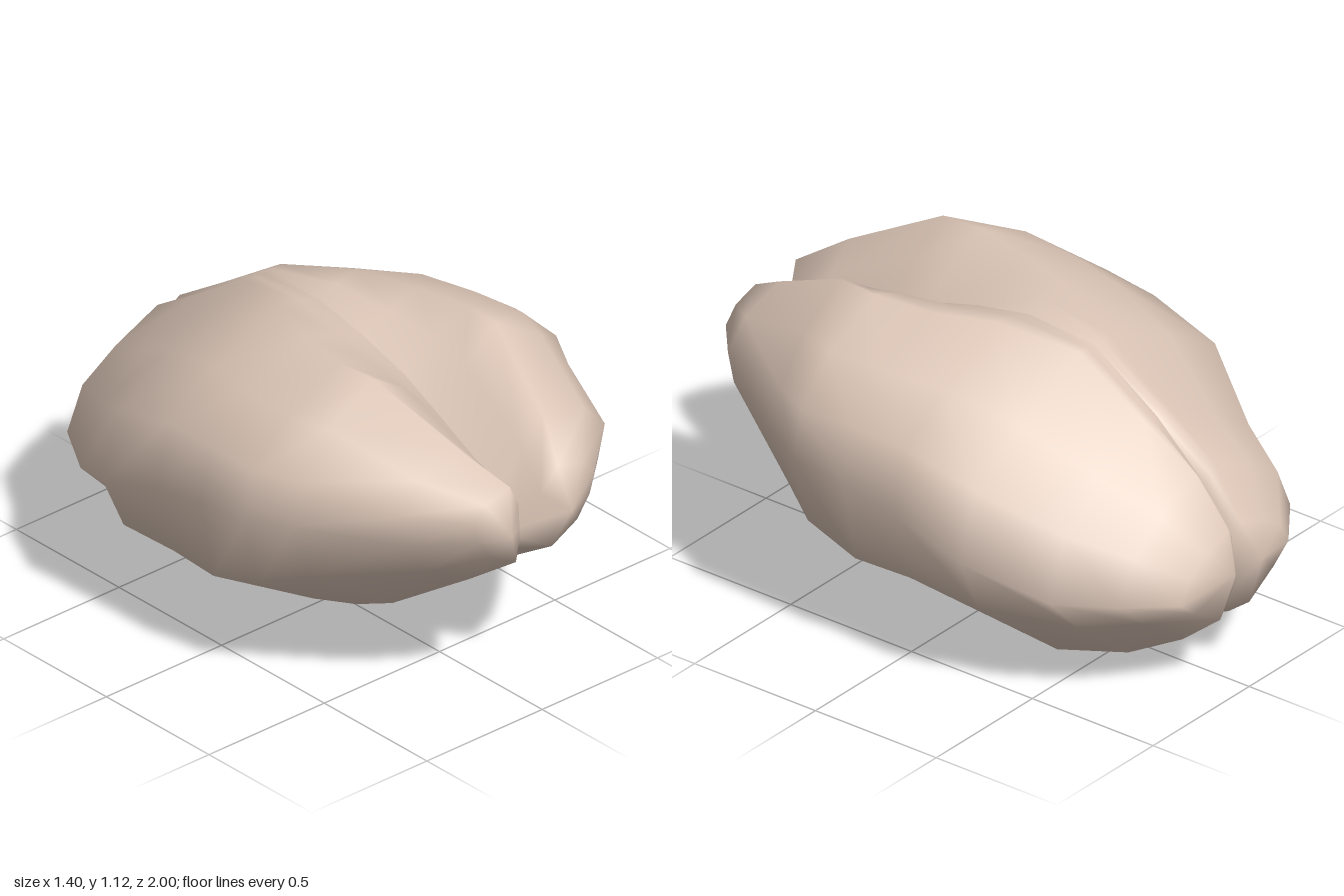
import * as THREE from 'three';

// Cross-sections, front to back: z, half width, top, bottom, crease top, crease bottom, crease z
const SECTIONS = [
  [0.96, 0.26, 0.86, 0.57, 0.64, 0.60, 0.89],
  [0.80, 0.45, 0.96, 0.46, 0.74, 0.52, 0.80],
  [0.48, 0.62, 1.12, 0.25, 0.90, 0.34, 0.48],
  [0.33, 0.70, 1.12, 0.19, 0.97, 0.27, 0.33],
  [0.12, 0.70, 1.11, 0.12, 1.03, 0.18, 0.12],
  [-0.09, 0.70, 1.115, 0.075, 1.07, 0.11, -0.09],
  [-0.36, 0.695, 1.055, 0.005, 1.05, 0.03, -0.36],
  [-0.62, 0.56, 0.88, 0.065, 0.875, 0.09, -0.62],
  [-0.82, 0.44, 0.75, 0.17, 0.69, 0.23, -0.81],
  [-0.94, 0.28, 0.58, 0.265, 0.51, 0.34, -0.93],
];
const FRONT_TIP = [0.13, 0.70, 1.0];
const BACK_TIP = [0.07, 0.45, -1.0];

// Outer profiles from ridge to underside at chosen z: fraction of half width, fraction of height.
// The widest point sits high at the front and low at the back; the ridge moves inward.
const PROFILES = [
  [0.80, [[0.40, 1], [0.80, 0.90], [1, 0.71], [0.93, 0.46], [0.72, 0.20], [0.3, 0]]],
  [0.48, [[0.43, 1], [0.74, 0.87], [0.93, 0.69], [1, 0.52], [0.87, 0.27], [0.3, 0]]],
  [0.15, [[0.36, 1], [0.71, 0.89], [0.95, 0.76], [1, 0.56], [0.92, 0.25], [0.3, 0]]],
  [-0.36, [[0.11, 1], [0.56, 0.87], [0.9, 0.74], [1, 0.51], [0.87, 0.32], [0.28, 0]]],
  [-0.62, [[0.11, 1], [0.52, 0.86], [0.85, 0.70], [1, 0.44], [0.73, 0.25], [0.27, 0]]],
];
const { lerp, clamp } = THREE.MathUtils;

function profileAt(z) {
  const below = PROFILES.findIndex(([pz]) => pz < z);
  const k = below < 0 ? PROFILES.length - 1 : Math.max(below, 1);
  const [za, a] = PROFILES[k - 1];
  const [zb, b] = PROFILES[k];
  const t = clamp((za - z) / (za - zb), 0, 1);
  return a.map(([x, y], i) => [lerp(x, b[i][0], t), lerp(y, b[i][1], t)]);
}

function sectionPoints([z, w, top, bottom, creaseTop, creaseBottom, creaseZ]) {
  const profile = profileAt(z);
  return [
    [0, creaseTop, creaseZ],
    [0.47 * profile[0][0] * w, lerp(creaseTop, top, 0.58), lerp(creaseZ, z, 0.7)],
    ...profile.map(([fx, fy]) => [fx * w, lerp(bottom, top, fy), z]),
    [0, creaseBottom, creaseZ],
  ];
}

// One closed-ended lobe; side is 1 for +x and -1 for its mirror
function lobeGeometry(side) {
  const rings = SECTIONS.map(sectionPoints);
  const n = rings[0].length;
  const points = [...rings.flat(), FRONT_TIP, BACK_TIP];
  const frontTip = points.length - 2;
  const backTip = points.length - 1;
  const index = [];
  const tri = (a, b, c) => index.push(...(side > 0 ? [a, b, c] : [a, c, b]));

  // skin between neighbouring sections
  for (let i = 0; i < rings.length - 1; i++) {
    for (let j = 0; j < n - 1; j++) {
      const a = i * n + j;
      const d = a + n;
      tri(a, a + 1, d + 1);
      tri(a, d + 1, d);
    }
  }
  // pointed ends, including the inner faces of the cleft
  const last = (rings.length - 1) * n;
  for (let j = 0; j < n; j++) {
    const k = (j + 1) % n;
    tri(frontTip, k, j);
    tri(backTip, last + j, last + k);
  }

  const geometry = new THREE.BufferGeometry();
  const coords = points.flatMap(([x, y, z]) => [x * side, y, z]);
  geometry.setAttribute('position', new THREE.Float32BufferAttribute(coords, 3));
  geometry.setIndex(index);
  geometry.computeVertexNormals();
  return geometry;
}

export function createModel() {
  const group = new THREE.Group();
  group.name = 'twoLobedBody';
  const skin = new THREE.MeshStandardMaterial({ color: 0xdcc6b7 });
  skin.name = 'pale beige';
  for (const [name, side] of [['leftLobe', 1], ['rightLobe', -1]]) {
    const lobe = new THREE.Mesh(lobeGeometry(side), skin);
    lobe.name = name;
    group.add(lobe);
  }
  return group;
}
